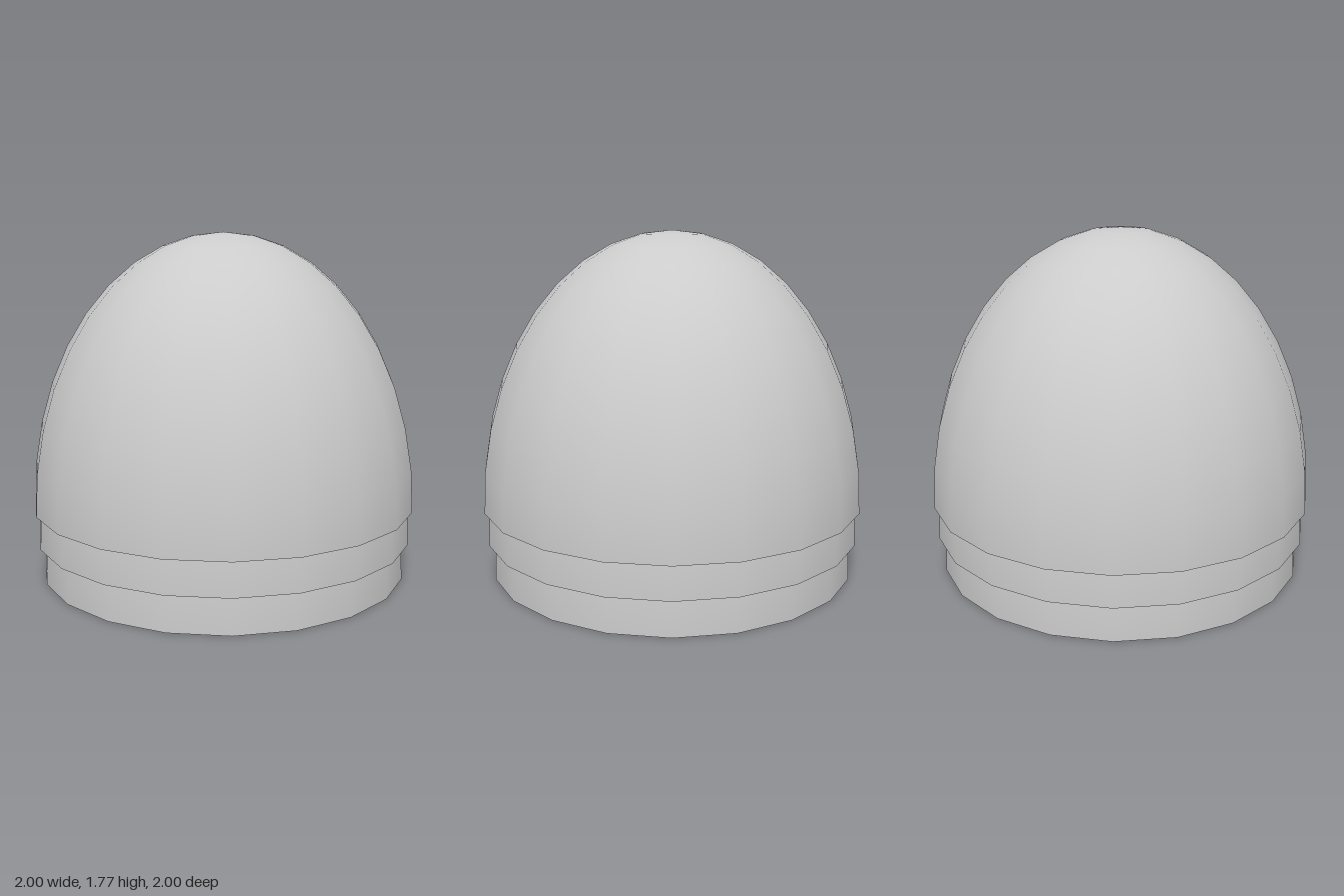
import * as THREE from 'three';

const material = new THREE.MeshStandardMaterial({ color: 0xcccccc, side: THREE.DoubleSide });

// Open half-ellipsoid shell: rim radius, height of the rim and of the crown above the ground
function dome(name, radius, rimY, topY) {
  const geometry = new THREE.SphereGeometry(1, 20, 10, 0, Math.PI * 2, 0, Math.PI / 2);
  geometry.scale(radius, topY - rimY, radius);
  const mesh = new THREE.Mesh(geometry, material);
  mesh.name = name;
  mesh.position.y = rimY;
  return mesh;
}

export function createModel() {
  const group = new THREE.Group();
  group.name = 'layeredDome';

  // Three nested shells, each one hanging lower than the shell around it
  group.add(
    dome('outerShell', 1, 0.36, 1.768),
    dome('middleShell', 0.984, 0.187, 1.65),
    dome('innerShell', 0.958, 0, 1.53),
  );
  return group;
}
